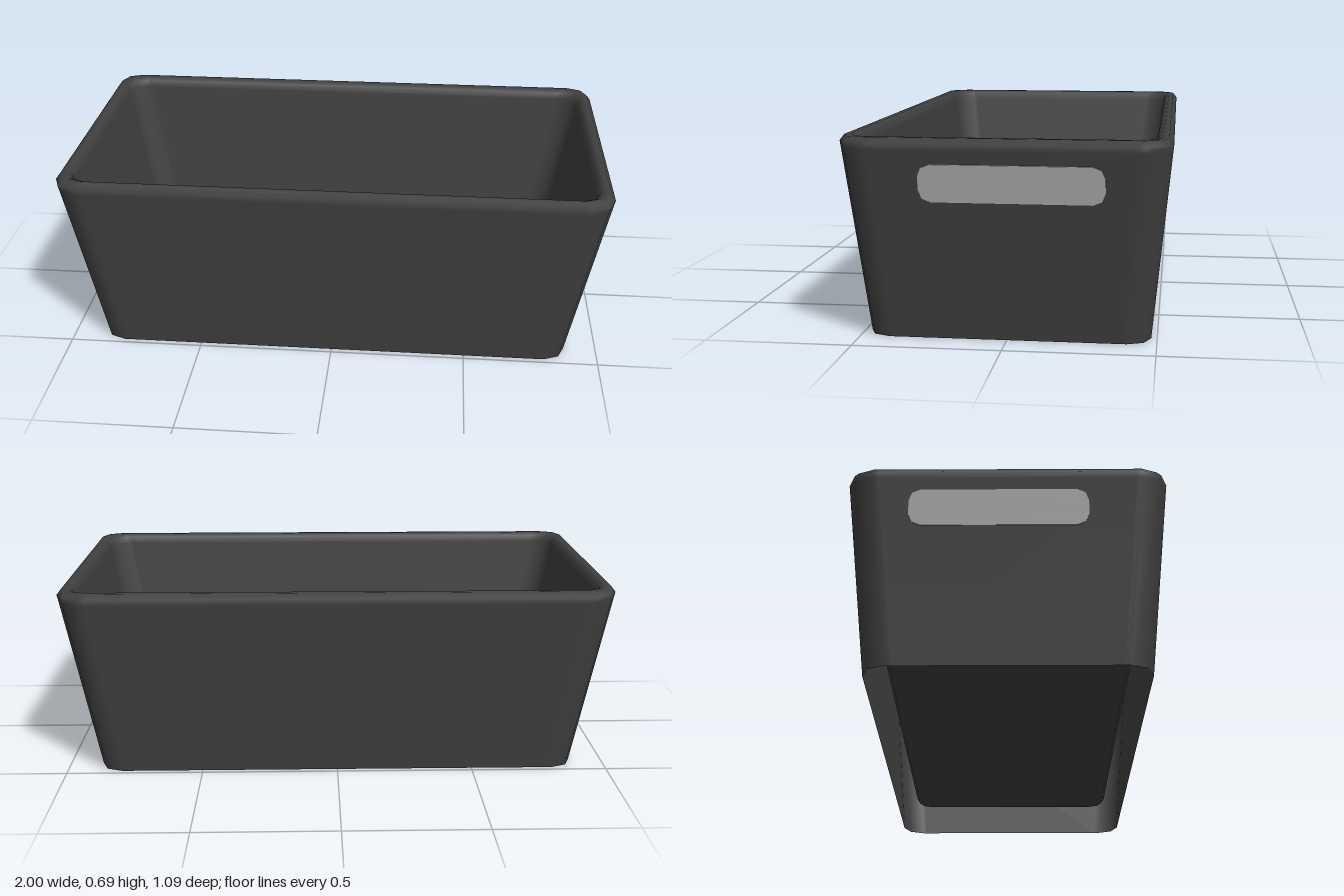
import * as THREE from 'three';
import { toCreasedNormals } from 'three/addons/utils/BufferGeometryUtils.js';

const ARC = [0, 0.5, 1];
const HOLD = 0.02; // short straight piece beside each corner, keeps the flat sides evenly shaded

// Rounded rectangle outline, counter-clockwise
function outline(hx, hz, r) {
  const pts = [];
  for (let q = 0; q < 4; q++) {
    const centre = new THREE.Vector2(q % 3 === 0 ? hx - r : r - hx, q < 2 ? hz - r : r - hz);
    const along = t => new THREE.Vector2(Math.cos((q + t) * Math.PI / 2), Math.sin((q + t) * Math.PI / 2));
    const arc = ARC.map(t => along(t).multiplyScalar(r).add(centre));
    pts.push(arc[0].clone().addScaledVector(along(1), -HOLD));
    pts.push(...arc);
    pts.push(arc[2].clone().addScaledVector(along(0), -HOLD));
  }
  return pts;
}

// Skin stretched over a series of [halfWidth, halfDepth, cornerRadius, y] rings
function loft(rings) {
  const pos = [], index = [];
  const n = 4 * (ARC.length + 2);
  rings.forEach(([hx, hz, r, y]) => outline(hx, hz, r).forEach(p => pos.push(p.x, y, -p.y)));
  for (let k = 0; k < rings.length - 1; k++) {
    for (let i = 0; i < n; i++) {
      const j = (i + 1) % n;
      const a = k * n + i, b = k * n + j, c = a + n, d = b + n;
      index.push(a, b, d, a, d, c);
    }
  }
  const g = new THREE.BufferGeometry();
  g.setAttribute('position', new THREE.Float32BufferAttribute(pos, 3));
  g.setIndex(index);
  return toCreasedNormals(g, 1.05);
}

export function createModel() {
  const model = new THREE.Group();
  model.name = 'storageTub';
  const plastic = new THREE.MeshStandardMaterial({ color: 0x404040, side: THREE.DoubleSide });
  plastic.name = 'darkGreyPlastic';
  const grip = new THREE.MeshStandardMaterial({ color: 0xaeaeae });
  grip.name = 'lightGreyGrip';

  const add = (name, geometry, material) => {
    const mesh = new THREE.Mesh(geometry, material);
    mesh.name = name;
    model.add(mesh);
  };

  // Walls: outer skin up from the open foot, over the rounded rim, down inside to the floor
  const floor = [0.79, 0.38, 0.05, 0.1];
  add('walls', loft([
    [0.88, 0.48, 0.08, 0],
    [0.996, 0.543, 0.085, 0.65],
    [1.0, 0.545, 0.085, 0.67],
    [0.985, 0.53, 0.075, 0.69],
    [0.965, 0.51, 0.07, 0.69],
    [0.95, 0.492, 0.065, 0.68],
    [0.943, 0.488, 0.065, 0.655],
    [0.842, 0.427, 0.06, 0.15],
    [0.838, 0.424, 0.06, 0.13],
    [0.82, 0.41, 0.055, 0.105],
    floor,
  ]), plastic);

  // Raised floor, a single sheet seen from both sides
  const [hx, hz, r, y] = floor;
  const sheet = new THREE.ShapeGeometry(new THREE.Shape(outline(hx, hz, r)));
  add('floor', sheet.rotateX(-Math.PI / 2).translate(0, y, 0), plastic);

  // Grip plates lying on the sloping end walls
  const slope = 0.12 / 0.67;
  const gripY = 0.542;
  for (const side of [1, -1]) {
    const g = new THREE.ExtrudeGeometry(new THREE.Shape(outline(0.303, 0.064, 0.04)),
      { depth: 0.006, bevelEnabled: false });
    g.translate(0, 0, -0.003);
    g.rotateY(side * Math.PI / 2);
    g.rotateZ(-side * Math.atan(slope));
    g.translate(side * (0.88 + slope * gripY), gripY, -0.03);
    add(side > 0 ? 'leftGrip' : 'rightGrip', g, grip);
  }
  return model;
}
